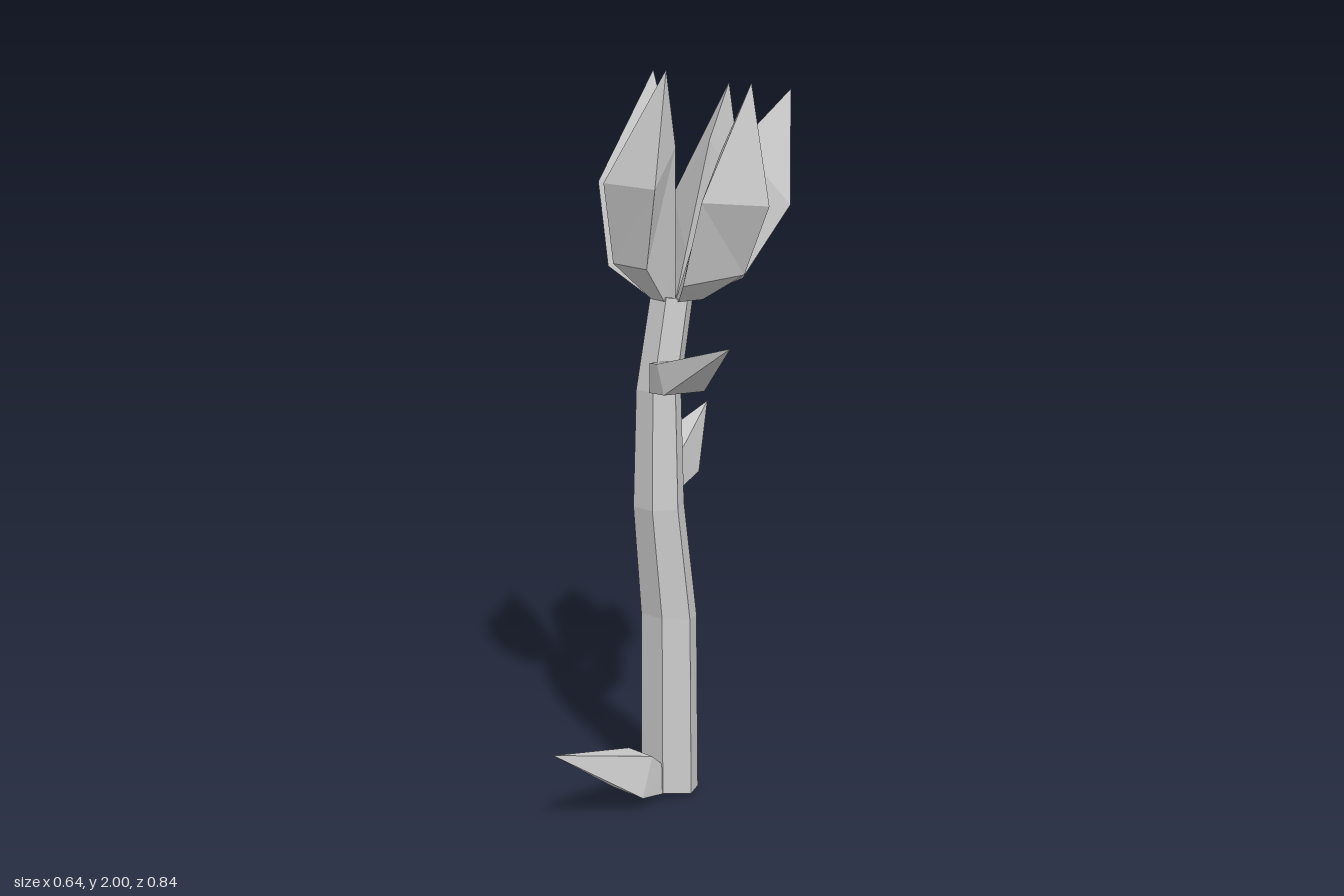
import * as THREE from 'three';

const V = (x, y, z) => new THREE.Vector3(x, y, z);

// Skin a list of equal-length point rings, cap both ends, and face it outward
function loft(name, rings, material) {
  const tris = [];
  const n = rings[0].length;
  for (let r = 0; r < rings.length - 1; r++) {
    for (let i = 0; i < n; i++) {
      const j = (i + 1) % n, a = rings[r], b = rings[r + 1];
      tris.push([a[i], a[j], b[j]], [a[i], b[j], b[i]]);
    }
  }
  const first = rings[0], last = rings[rings.length - 1];
  for (let i = 1; i < n - 1; i++) {
    tris.push([first[0], first[i + 1], first[i]], [last[0], last[i], last[i + 1]]);
  }
  const cross = V(0, 0, 0);
  const solid = tris.filter(([a, b, c]) =>
    cross.subVectors(b, a).cross(c.clone().sub(a)).length() > 1e-7);
  const volume = solid.reduce((s, [a, b, c]) => s + a.dot(cross.crossVectors(b, c)), 0);
  if (volume < 0) solid.forEach((t) => t.reverse());
  const geometry = new THREE.BufferGeometry().setFromPoints(solid.flat());
  geometry.computeVertexNormals();
  const mesh = new THREE.Mesh(geometry, material);
  mesh.name = name;
  return mesh;
}

export function createModel() {
  const group = new THREE.Group();
  group.name = 'flower';
  const material = new THREE.MeshStandardMaterial({ color: 0xcccccc, flatShading: true });

  // Bent six-sided stem: y, centre x, centre z, radius, tilt
  const stem = [
    [0.01, -0.09, -0.025, 0.082, 0.01],
    [0.52, -0.09, -0.023, 0.079, 0.01],
    [0.84, -0.09, 0.016, 0.071, 0],
    [1.16, -0.095, 0.01, 0.062, 0],
    [1.4, -0.088, -0.033, 0.058, 0.01],
  ].map(([y, x, z, r, tilt]) => Array.from({ length: 6 }, (_, i) => {
    const a = (i * Math.PI) / 3;
    return V(x + r * Math.cos(a), y + tilt * Math.sin(a) * 1.15, z + r * Math.sin(a));
  }));
  group.add(loft('stem', stem, material));

  // Pointed leaves: a small root, a swollen slanted section and a sharp tip
  const leaves = [
    { name: 'lowerLeaf', root: V(-0.09, 0.055, 0.03), low: V(-0.092, 0.04, 0.14),
      high: V(-0.092, 0.145, 0.09), tip: V(-0.09, 0.235, 0.42) },
    { name: 'upperLeaf', root: V(-0.06, 1.2, 0.035), low: V(0.06, 1.18, 0.075),
      high: V(0.0, 1.25, 0.055), tip: V(0.32, 1.35, 0.185) },
    { name: 'backLeaf', root: V(-0.125, 0.885, -0.01), low: V(-0.2, 0.88, -0.18),
      high: V(-0.175, 0.98, -0.12), tip: V(-0.315, 1.02, -0.42) },
  ];
  for (const { name, root, low, high, tip } of leaves) {
    const side = tip.clone().sub(root).setY(0).normalize().cross(V(0, 1, 0));
    const section = (bottom, top, wb, wt) => [
      bottom.clone().addScaledVector(side, -wb), bottom.clone().addScaledVector(side, wb),
      top.clone().addScaledVector(side, wt), top.clone().addScaledVector(side, -wt),
    ];
    group.add(loft(name, [
      section(root.clone().add(V(0, -0.04, 0)), root.clone().add(V(0, 0.04, 0)), 0.036, 0.034),
      section(low, high, 0.058, 0.045),
      [tip, tip, tip, tip],
    ], material));
  }

  // Five petals: two lower corners, two wide outer corners, an inner ridge point and a tip
  const heart = V(-0.085, 1.39, -0.045);
  const petals = [
    { name: 'frontPetal', low: [V(-0.16, 1.5, 0.112), V(-0.025, 1.5, 0.125)],
      wide: [V(-0.175, 1.71, 0.13), V(0.02, 1.71, 0.14)],
      inner: V(-0.062, 1.8, -0.022), tip: V(-0.055, 2.0, 0.02) },
    { name: 'leftPetal', low: [V(0.11, 1.475, -0.1), V(0.058, 1.46, 0.077)],
      wide: [V(0.19, 1.66, -0.105), V(0.122, 1.68, 0.077)],
      inner: V(0.035, 1.79, -0.09), tip: V(0.13, 1.97, -0.1) },
    { name: 'rightPetal', low: [V(-0.265, 1.48, -0.118), V(-0.23, 1.48, 0.062)],
      wide: [V(-0.325, 1.68, -0.135), V(-0.27, 1.7, 0.056)],
      inner: V(-0.157, 1.81, -0.1), tip: V(-0.235, 1.985, -0.118) },
    { name: 'backLeftPetal', low: [V(0.0, 1.44, -0.22), V(0.082, 1.47, -0.135)],
      wide: [V(0.004, 1.63, -0.345), V(0.16, 1.65, -0.222)],
      inner: V(0.0, 1.8, -0.2), tip: V(0.074, 1.94, -0.32) },
    { name: 'backRightPetal', low: [V(-0.2, 1.46, -0.14), V(-0.112, 1.44, -0.22)],
      wide: [V(-0.28, 1.64, -0.242), V(-0.115, 1.63, -0.35)],
      inner: V(-0.116, 1.8, -0.21), tip: V(-0.155, 1.945, -0.33) },
  ];
  for (const { name, low, wide, inner, tip } of petals) {
    const root = low.map((p) => heart.clone().lerp(p, 0.4).setY(1.4));
    group.add(loft(name, [
      [...root, heart],
      [...low, heart.clone().lerp(inner, 0.3)],
      [...wide, inner],
      [tip, tip, tip],
    ], material));
  }
  return group;
}
